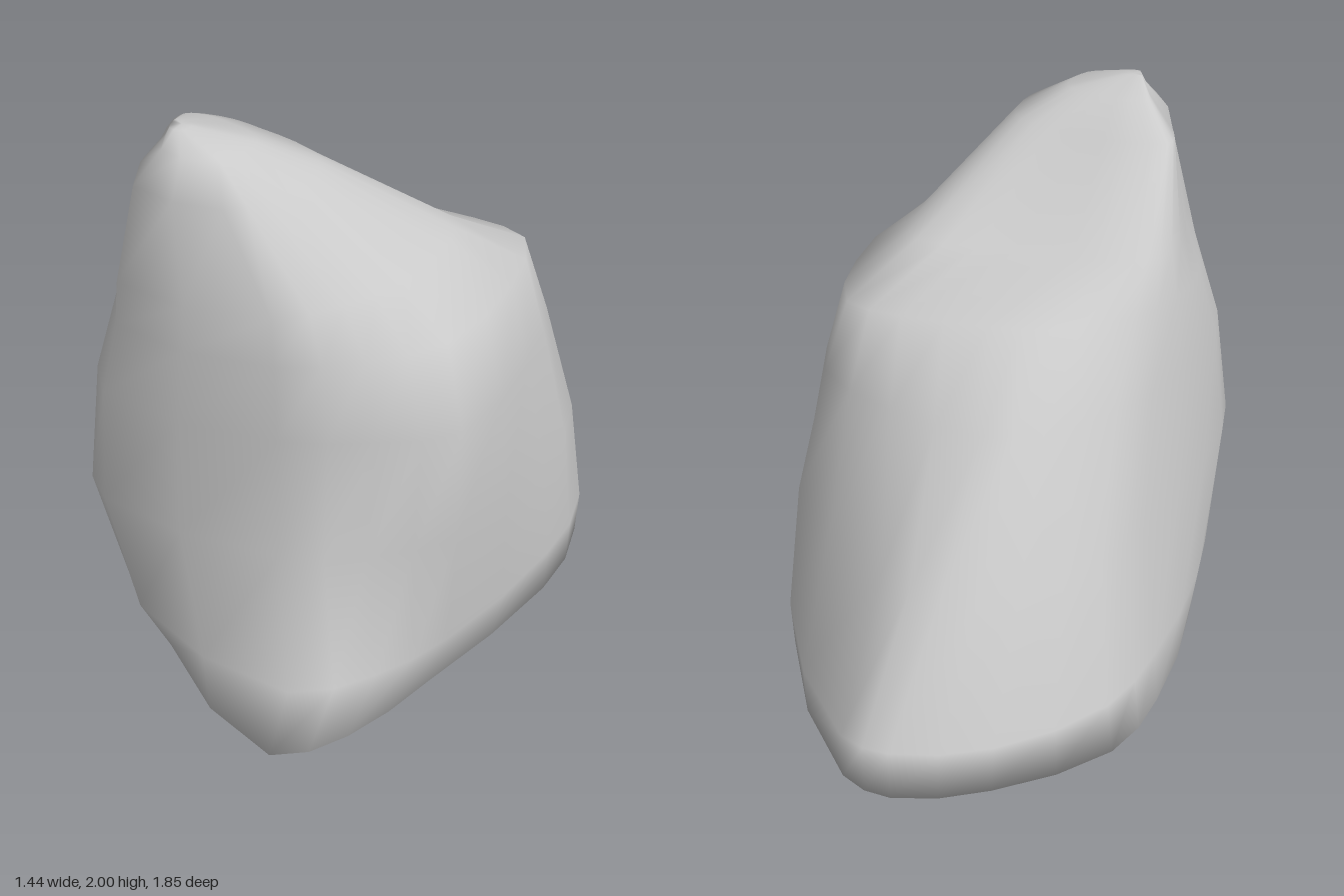
import * as THREE from 'three';

// Horizontal outline of the boulder at height y, as x, z pairs running
// front, foot, right side, back, left side.
function ring(y, coords) {
  const points = [];
  for (let i = 0; i < coords.length; i += 2) points.push(new THREE.Vector3(coords[i], y, coords[i + 1]));
  return points;
}

// Copy of an outline, scaled in x and z, shifted in x and z, at a new height
function scaled(source, y, sx, sz, dx, dz) {
  return source.map((p) => new THREE.Vector3(p.x * sx + dx, y, p.z * sz + dz));
}

// Skin the outlines, rounding each one and closing both ends
function loft(rings, around) {
  const positions = [];
  const index = [];
  for (const points of rings) {
    const curve = new THREE.CatmullRomCurve3(points, true, 'centripetal');
    for (let i = 0; i < around; i++) positions.push(...curve.getPoint(i / around).toArray());
  }
  for (let r = 0; r < rings.length - 1; r++) {
    for (let i = 0; i < around; i++) {
      const a = r * around + i;
      const b = r * around + (i + 1) % around;
      index.push(a, b, b + around, a, b + around, a + around);
    }
  }
  for (const r of [0, rings.length - 1]) {
    const centre = new THREE.Vector3();
    rings[r].forEach((p) => centre.addScaledVector(p, 1 / rings[r].length));
    const c = positions.length / 3;
    positions.push(centre.x, centre.y, centre.z);
    for (let i = 0; i < around; i++) {
      const a = r * around + i;
      const b = r * around + (i + 1) % around;
      if (r === 0) index.push(c, b, a);
      else index.push(c, a, b);
    }
  }
  const geometry = new THREE.BufferGeometry();
  geometry.setAttribute('position', new THREE.Float32BufferAttribute(positions, 3));
  geometry.setIndex(index);
  geometry.computeVertexNormals();
  return geometry;
}

export function createModel() {
  // Widest outline, with the foot at front and the long tail at the back
  const foot = ring(0.33, [0.02, 0.81, 0.59, 0.85, 0.67, 0.63, 0.64, 0.3, 0.54, -0.27, 0.38, -0.57,
    -0.19, -0.92, -0.36, -0.9, -0.56, -0.69, -0.72, -0.33, -0.68, -0.05, -0.5, 0.38, -0.3, 0.62]);
  const ankle = ring(0.48, [-0.04, 0.87, 0.55, 0.75, 0.65, 0.51, 0.66, 0.25, 0.55, -0.27, 0.39, -0.57,
    -0.19, -0.92, -0.35, -0.89, -0.56, -0.68, -0.69, -0.32, -0.65, -0.03, -0.5, 0.42, -0.31, 0.72]);
  const waist = ring(0.87, [-0.1, 0.92, 0.44, 0.69, 0.6, 0.5, 0.69, 0.25, 0.57, -0.2, 0.4, -0.49,
    -0.12, -0.66, -0.33, -0.64, -0.47, -0.46, -0.56, -0.2, -0.55, 0.03, -0.46, 0.48, -0.31, 0.82]);
  const chest = ring(1.25, [-0.06, 0.91, 0.44, 0.68, 0.61, 0.48, 0.72, 0.27, 0.56, -0.12, 0.37, -0.38,
    0.05, -0.43, -0.26, -0.38, -0.38, -0.25, -0.46, -0.02, -0.47, 0.15, -0.43, 0.47, -0.3, 0.74]);
  // Rear shoulder, then the sloping saddle up to the peak
  const shoulder = ring(1.48, [-0.01, 0.88, 0.44, 0.68, 0.57, 0.48, 0.63, 0.25, 0.5, -0.1, 0.31, -0.33,
    0.12, -0.3, -0.12, -0.19, -0.27, -0.09, -0.37, 0.06, -0.42, 0.22, -0.4, 0.43, -0.29, 0.63]);
  const saddle = ring(1.61, [0, 0.87, 0.42, 0.67, 0.48, 0.48, 0.48, 0.28, 0.38, 0.03, 0.26, -0.08,
    0.08, 0, -0.12, 0.08, -0.25, 0.14, -0.34, 0.21, -0.38, 0.28, -0.37, 0.4, -0.27, 0.57]);
  const brow = ring(1.89, [0.04, 0.82, 0.3, 0.72, 0.33, 0.6, 0.31, 0.48, 0.26, 0.38, 0.2, 0.34,
    0.08, 0.33, -0.05, 0.35, -0.15, 0.37, -0.23, 0.41, -0.27, 0.45, -0.26, 0.5, -0.17, 0.6]);

  const rings = [
    scaled(foot, 0, 0.14, 0.04, 0, 0.26),
    scaled(foot, 0.04, 0.33, 0.22, 0, 0.21),
    scaled(foot, 0.13, 0.67, 0.49, 0, 0.2),
    foot, ankle, waist, chest, shoulder, saddle, brow,
    scaled(brow, 1.965, 0.52, 0.5, 0.02, 0.32),
    scaled(brow, 2, 0.12, 0.12, 0, 0.58),
  ];

  const boulder = new THREE.Mesh(loft(rings, 26), new THREE.MeshStandardMaterial({ color: 0xcccccc }));
  boulder.name = 'boulder';
  const model = new THREE.Group();
  model.name = 'rock';
  model.add(boulder);
  return model;
}
